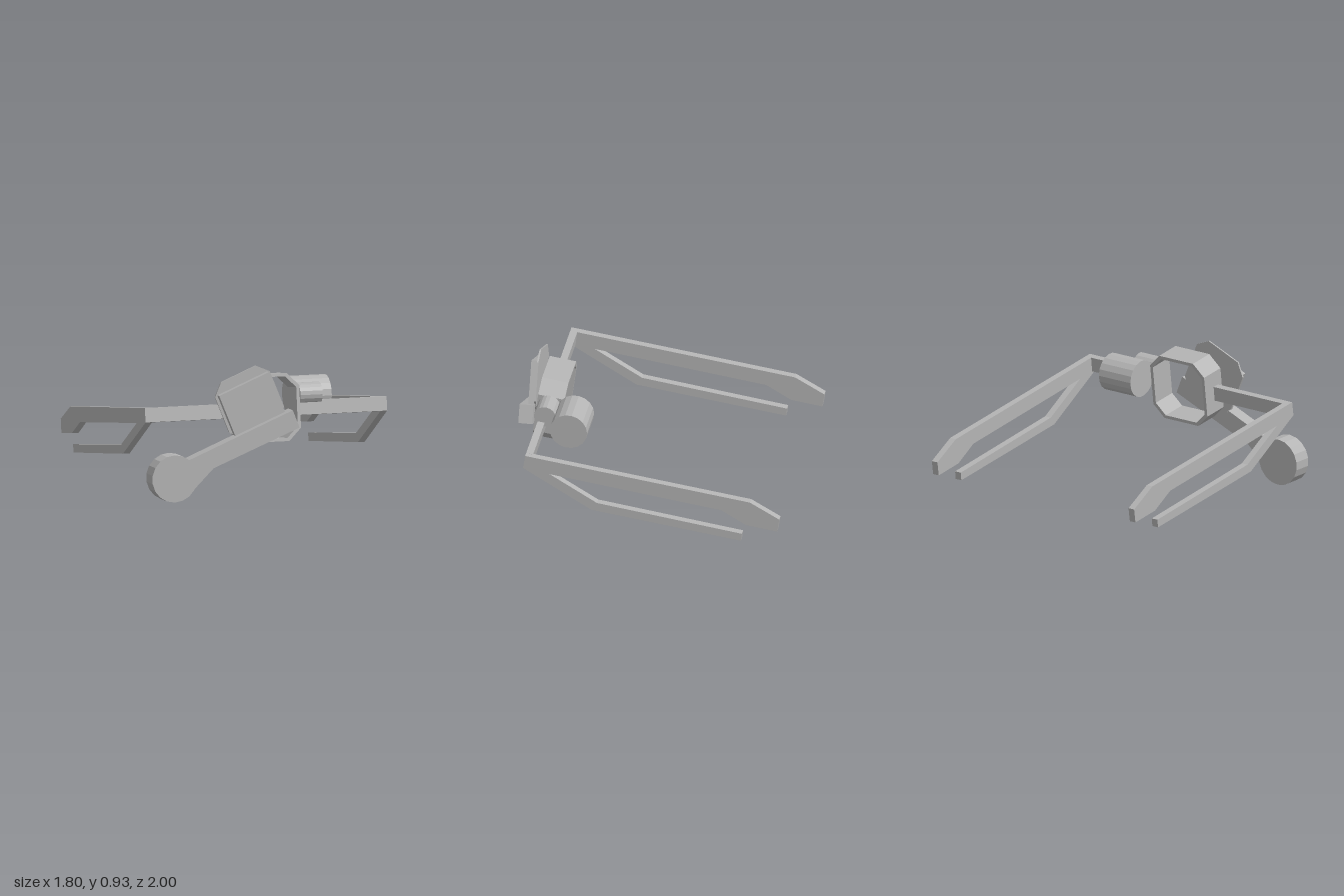
import * as THREE from 'three';

const grey = new THREE.MeshStandardMaterial({ color: 0xb4b4b4 });
grey.name = 'plain grey';

const toShape = (pts) => new THREE.Shape(pts.map(([a, b]) => new THREE.Vector2(a, b)));
const extrude = (shape, depth) =>
  new THREE.ExtrudeGeometry(shape, { depth, bevelEnabled: false, curveSegments: 1 });

// square outline with cut corners
function octagon(h, c) {
  const k = h - c;
  return [[k, -h], [h, -k], [h, k], [k, h], [-k, h], [-h, k], [-h, -k], [-k, -h]];
}

export function createModel() {
  const model = new THREE.Group();
  function add(name, geometry, x = 0, y = 0, z = 0, parent = model) {
    const mesh = new THREE.Mesh(geometry, grey);
    mesh.name = name;
    mesh.position.set(x, y, z);
    parent.add(mesh);
    return mesh;
  }
  // (z, y) profile swept along x from x0 to x1
  function sideProfile(name, pts, x0, x1) {
    return add(name, extrude(toShape(pts), x1 - x0).rotateY(-Math.PI / 2), x1);
  }

  // forked side arms and the crossbar halves
  const fork = [
    [0.82, 0.655], [0.835, 0.555], [0.345, 0.265], [-0.725, 0.127], [-0.732, 0.185],
    [0.305, 0.325], [0.645, 0.525], [-0.585, 0.362], [-0.76, 0.26], [-0.985, 0.23],
    [-1.0, 0.33], [-0.79, 0.447],
  ];
  const bar = [[0.82, 0.655], [0.835, 0.555], [0.782, 0.545], [0.77, 0.649]];
  sideProfile('leftForkArm', fork, 0.85, 0.9);
  sideProfile('rightForkArm', fork, -0.9, -0.85);
  sideProfile('leftCrossbar', bar, 0.23, 0.86);
  sideProfile('rightCrossbar', bar, -0.86, -0.23);

  // open eight-sided ring, leaning back
  const ringShape = toShape(octagon(0.24, 0.09));
  ringShape.holes.push(toShape(octagon(0.217, 0.08).reverse()));
  const ring = add('ring', extrude(ringShape, 0.19).translate(0, 0, -0.095), 0, 0.608, 0.773);
  ring.rotation.x = -0.128;

  // two drums lying along x beside the ring
  const drum = (name, r, x0, x1, y, z) =>
    add(name, new THREE.CylinderGeometry(r, r, x1 - x0, 18).toNonIndexed().rotateZ(Math.PI / 2),
      (x0 + x1) / 2, y, z).geometry.computeVertexNormals();
  drum('largeDrum', 0.133, 0.25, 0.53, 0.663, 0.578);
  drum('smallDrum', 0.079, 0.25, 0.415, 0.696, 0.768);

  // tilted lid with a block on its face
  const lid = new THREE.Group();
  lid.name = 'lid';
  lid.position.set(-0.148, 0.674, 0);
  lid.rotation.z = 0.393;
  model.add(lid);
  add('lidPlate', extrude(toShape(octagon(0.22, 0.08)), 0.012), 0, 0, 0.89, lid);
  add('lidBlock', new THREE.BoxGeometry(0.4, 0.33, 0.05), 0, -0.018, 0.92, lid);

  // handle bar with a round end
  const handle = [[0.14, 0.615], [-0.635, 0.295], [-0.74, 0.168], [-0.645, 0.035],
    [-0.45, 0.23], [0.19, 0.49]];
  add('handle', extrude(toShape(handle), 0.1), 0, 0, 0.9);
  const disc = new THREE.CylinderGeometry(0.168, 0.168, 0.135, 18).rotateX(Math.PI / 2).toNonIndexed();
  disc.computeVertexNormals();
  add('handleDisc', disc, -0.738, 0.168, 0.9325);

  return model;
}
